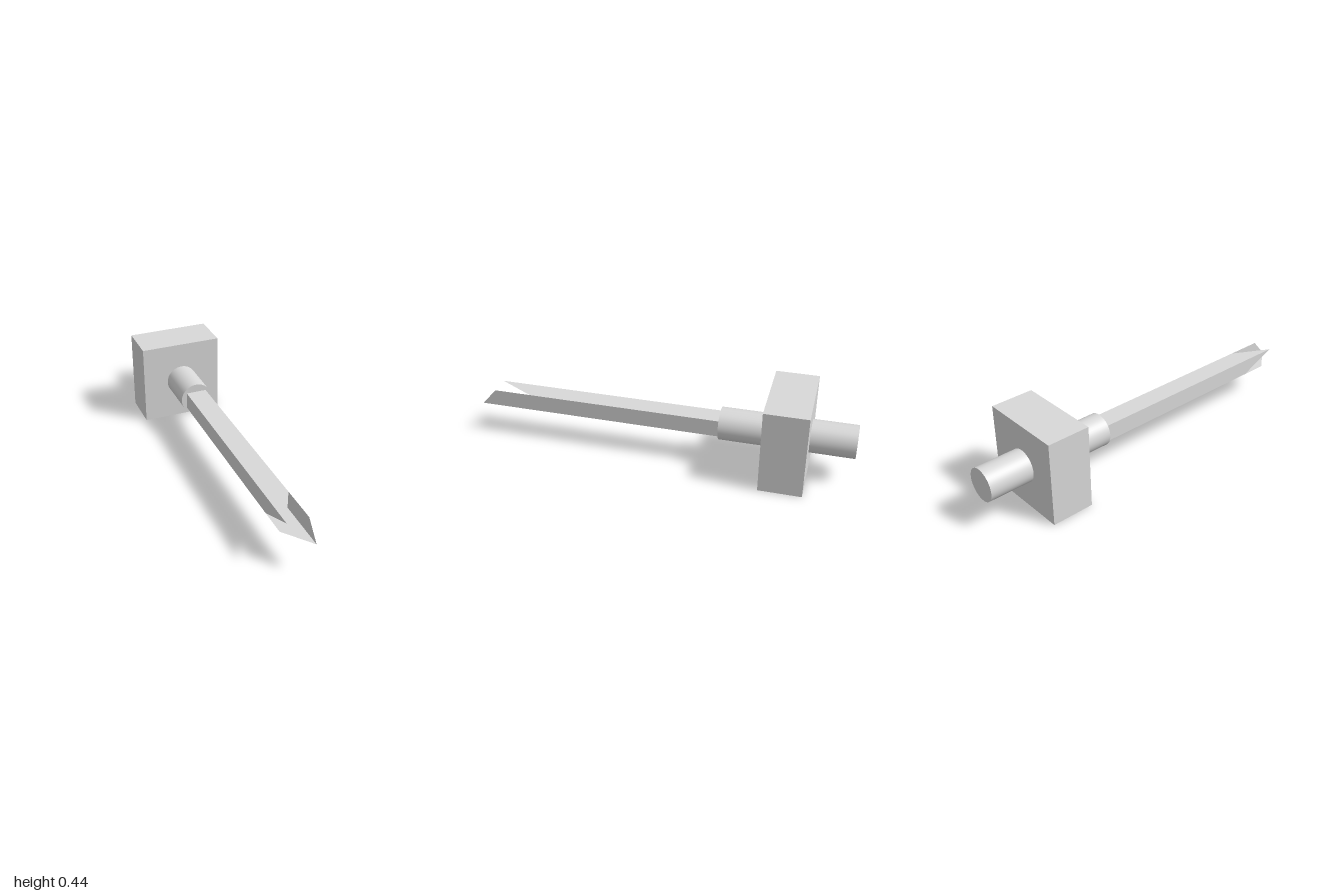
import * as THREE from 'three';

const BASE_Z = -0.315; // blade root, at the front end of the shaft

// Blade wall between two corners [x, y], each running to its own end z
function bladeWall([ax, ay], [bx, by], aEnd, bEnd) {
  const geometry = new THREE.BufferGeometry();
  geometry.setAttribute('position', new THREE.Float32BufferAttribute([
    ax, ay, BASE_Z, bx, by, BASE_Z, bx, by, bEnd, ax, ay, aEnd,
  ], 3));
  geometry.setIndex([0, 1, 2, 0, 2, 3]);
  geometry.computeVertexNormals();
  return geometry;
}

export function createModel() {
  const model = new THREE.Group();
  model.name = 'slottedShaftTool';
  // Double-sided because the blade is an open tube
  const grey = new THREE.MeshStandardMaterial({ color: 0xd9d9d9, side: THREE.DoubleSide });
  grey.name = 'plain grey';

  const add = (name, geometry, parent = model) => {
    const mesh = new THREE.Mesh(geometry, grey);
    mesh.name = name;
    parent.add(mesh);
    return mesh;
  };

  // Square block around the shaft
  add('block', new THREE.BoxGeometry(0.445, 0.445, 0.223)).position.set(0, 0.2225, -0.6595);

  // Round shaft passing through the block
  const shaft = new THREE.CylinderGeometry(0.085, 0.085, 0.69, 48).rotateX(Math.PI / 2);
  add('shaft', shaft).position.set(0, 0.223, -0.655);

  // Hollow rectangular blade, each wall cut off at its own slant
  const blade = new THREE.Group();
  blade.name = 'blade';
  model.add(blade);
  const x = 0.055, top = 0.264, bottom = 0.174;
  const rightTop = [-x, top], rightBottom = [-x, bottom];
  const leftTop = [x, top], leftBottom = [x, bottom];
  add('bladeTop', bladeWall(leftTop, rightTop, 0.72, 0.923), blade);
  add('bladeRightWall', bladeWall(rightTop, rightBottom, 0.923, 0.72), blade);
  add('bladeBottom', bladeWall(rightBottom, leftBottom, 0.862, 1), blade);
  add('bladeLeftWall', bladeWall(leftBottom, leftTop, 1, 0.921), blade);

  return model;
}
